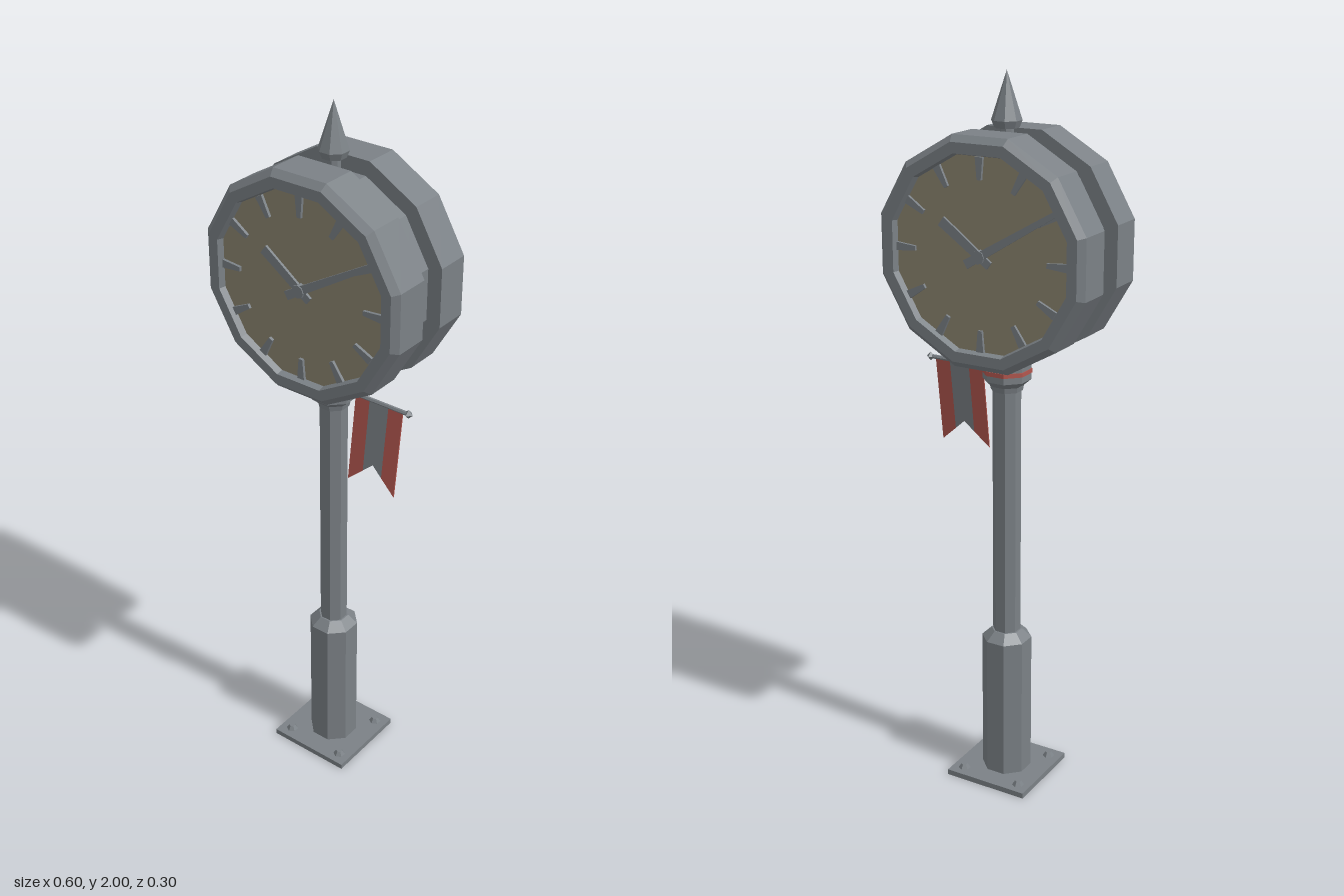
import * as THREE from 'three';

const steel = new THREE.MeshStandardMaterial({ color: 0x7b8186 });
steel.name = 'steelGrey';
const dial = new THREE.MeshStandardMaterial({ color: 0x8c8570 });
dial.name = 'dialBeige';
const red = new THREE.MeshStandardMaterial({ color: 0xb2574f });
red.name = 'flagRed';

const CLOCK_Y = 1.553;

// faceted mesh with its own normal on every face
function part(name, geometry, material, parent) {
  const g = geometry.index ? geometry.toNonIndexed() : geometry;
  g.computeVertexNormals();
  const mesh = new THREE.Mesh(g, material);
  mesh.name = name;
  parent.add(mesh);
  return mesh;
}

// n-sided turned shape with flats on the axes; points are [flat radius, height], bottom to top
function turned(points, n) {
  const k = 1 / Math.cos(Math.PI / n);
  return new THREE.LatheGeometry(points.map(([r, y]) => new THREE.Vector2(r * k, y)), n, Math.PI / n);
}

function slab(points, depth) {
  const shape = new THREE.Shape(points.map(([x, y]) => new THREE.Vector2(x, y)));
  return new THREE.ExtrudeGeometry(shape, { depth, bevelEnabled: false });
}

// rim, dial, hour marks and hands, facing +z
function clockSide(name) {
  const side = new THREE.Group();
  side.name = name;
  part('clockRim', turned([[0.2, 0.037], [0.3, 0.037], [0.3, 0.132], [0.283, 0.149], [0.255, 0.149], [0.25, 0.128]], 12)
    .rotateX(Math.PI / 2), steel, side);
  part('dial', new THREE.CircleGeometry(0.262, 12, Math.PI / 12), dial, side).position.z = 0.13;

  for (let i = 0; i < 12; i++) {
    const mark = part('hourMark', slab([[-0.006, 0.193], [0.006, 0.193], [0.011, 0.25], [-0.011, 0.25]], 0.009), steel, side);
    mark.position.z = 0.129;
    mark.rotation.z = -i * Math.PI / 6;
  }

  // hands point up before turning
  const hourHand = part('hourHand', slab([[-0.011, -0.035], [0.011, -0.035], [0.014, 0.138], [-0.014, 0.138]], 0.007), steel, side);
  hourHand.position.z = 0.133;
  hourHand.rotation.z = 0.95;
  const minuteHand = part('minuteHand', slab([[-0.012, -0.045], [0.012, -0.045], [0.007, 0.255], [-0.007, 0.255]], 0.006), steel, side);
  minuteHand.position.z = 0.138;
  minuteHand.rotation.z = -1.03;
  part('handHub', new THREE.CylinderGeometry(0.018, 0.018, 0.018, 8).rotateX(Math.PI / 2), steel, side).position.z = 0.138;
  side.position.y = CLOCK_Y;
  return side;
}

export function createModel() {
  const model = new THREE.Group();
  model.name = 'streetClock';

  // foot plate and bolts
  part('footPlate', new THREE.BoxGeometry(0.25, 0.016, 0.25), steel, model).position.y = 0.008;
  for (const x of [-0.09, 0.09]) for (const z of [-0.09, 0.09]) {
    part('bolt', new THREE.CylinderGeometry(0.009, 0.018, 0.014, 6), steel, model).position.set(x, 0.022, z);
  }

  // post and collar
  part('post', turned([[0.065, 0.015], [0.065, 0.43], [0.04, 0.455], [0.036, 0.455], [0.036, 1.17]], 8), steel, model);
  part('collar', turned([[0, 1.165], [0.04, 1.165], [0.043, 1.18], [0.061, 1.197], [0.061, 1.252], [0, 1.252]], 8), steel, model);
  part('collarBand', turned([[0.06, 1.215], [0.063, 1.215], [0.063, 1.227], [0.06, 1.227]], 8), red, model);
  part('neck', turned([[0.03, 1.24], [0.03, 1.32]], 8), steel, model);

  // clock head
  part('clockCore', turned([[0, -0.06], [0.26, -0.06], [0.26, 0.06], [0, 0.06]], 12)
    .rotateX(Math.PI / 2), steel, model).position.y = CLOCK_Y;
  model.add(clockSide('frontClock'));
  const back = clockSide('backClock');
  back.rotation.y = Math.PI;
  model.add(back);

  // finial
  part('finial', turned([[0.017, 1.8], [0.017, 1.858], [0.03, 1.858], [0.037, 1.877], [0, 2]], 8), steel, model);

  // flag rod with a pointed end
  part('flagRod', new THREE.CylinderGeometry(0.006, 0.006, 0.2, 6).rotateZ(Math.PI / 2), steel, model).position.set(0.14, 1.221, 0);
  part('rodTip', new THREE.OctahedronGeometry(0.013), steel, model).position.set(0.241, 1.221, 0);

  // swallow-tailed flag in three stripes, leaning forward
  const flag = new THREE.Group();
  flag.name = 'flag';
  const stripes = [
    ['leftStripe', [[-0.075, -0.247], [-0.03, -0.207], [-0.03, 0], [-0.075, 0]], red],
    ['middleStripe', [[-0.03, -0.207], [0, -0.18], [0.03, -0.207], [0.03, 0], [-0.03, 0]], steel],
    ['rightStripe', [[0.03, -0.207], [0.075, -0.247], [0.075, 0], [0.03, 0]], red],
  ];
  for (const [name, points, material] of stripes) part(name, slab(points, 0.003), material, flag);
  flag.position.set(0.15, 1.22, 0);
  flag.rotation.x = -0.13;
  model.add(flag);

  return model;
}
